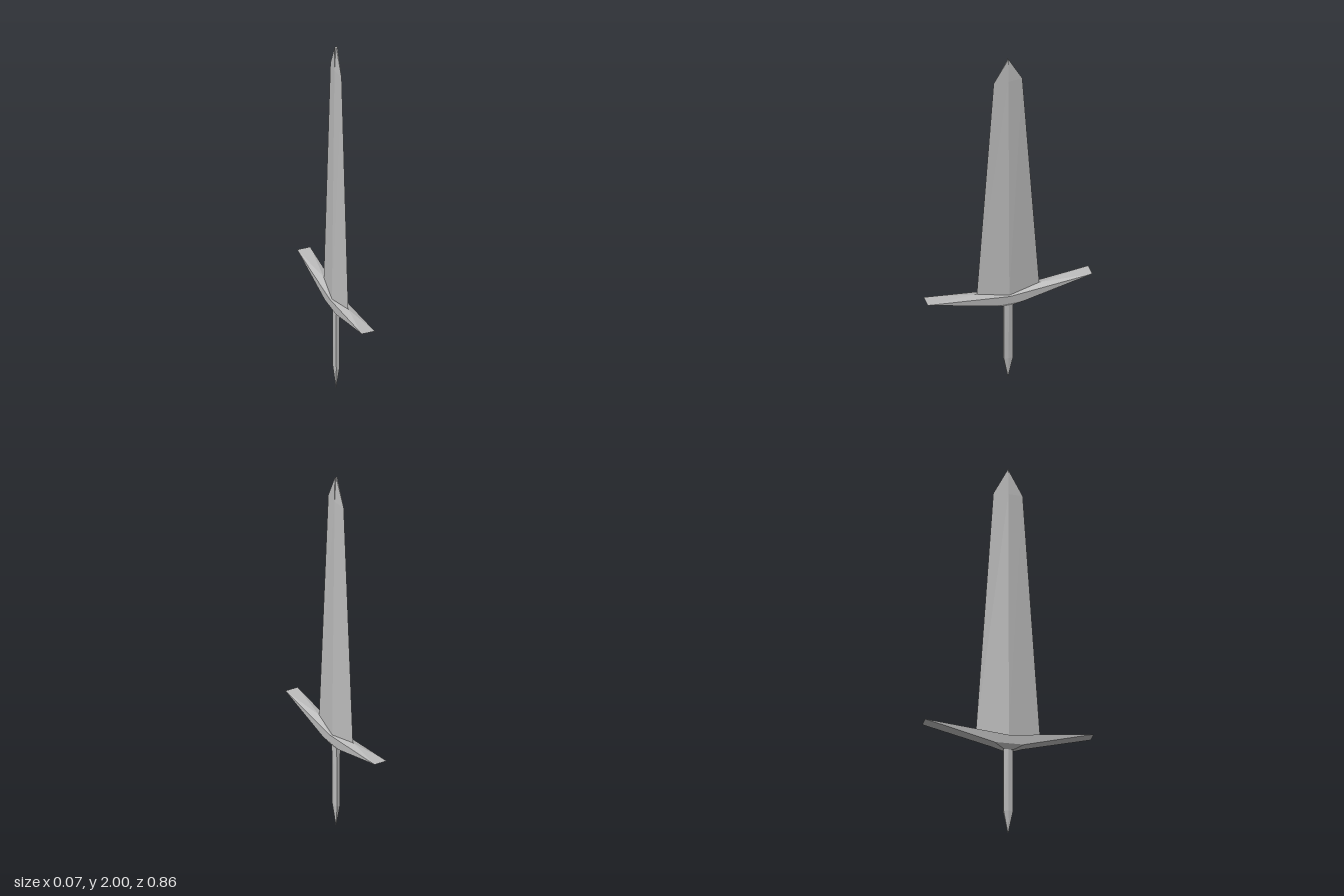
import * as THREE from 'three';

const steel = new THREE.MeshStandardMaterial({ color: 0xbcbcbc });
steel.name = 'steel grey';

// Faceted mesh from a list of convex polygons (corners counterclockwise from outside)
function facetMesh(name, polygons) {
  const pos = [];
  for (const p of polygons)
    for (let i = 1; i < p.length - 1; i++) pos.push(...p[0], ...p[i], ...p[i + 1]);
  const geo = new THREE.BufferGeometry();
  geo.setAttribute('position', new THREE.Float32BufferAttribute(pos, 3));
  geo.computeVertexNormals();
  const mesh = new THREE.Mesh(geo, steel);
  mesh.name = name;
  return mesh;
}

// Skin between rings, listed from bottom to top
function loft(name, rings) {
  const polygons = [];
  for (let r = 0; r < rings.length - 1; r++) {
    const a = rings[r], b = rings[r + 1], n = a.length;
    for (let i = 0; i < n; i++) {
      const j = (i + 1) % n;
      polygons.push([a[i], a[j], b[j], b[i]]);
    }
  }
  return facetMesh(name, polygons);
}

// Diamond section; the ridge may sit lower than the cutting edges
const diamond = (hx, hz, y, ridgeY = y) =>
  [[hx, ridgeY, 0], [0, y, -hz], [-hx, ridgeY, 0], [0, y, hz]];

// Six-sided grip section
const hexagon = (hx, hz, y) => [
  [hx, y, 0], [hx * 0.75, y, -hz], [-hx * 0.75, y, -hz],
  [-hx, y, 0], [-hx * 0.75, y, hz], [hx * 0.75, y, hz],
];

// Crossguard: one quarter (x > 0, z > 0), mirrored to the other three
function guard() {
  const end = [0.035, 0.57, 0.43], endMid = [0, 0.57, 0.43];
  const peak = [0, 0.553, 0.163], side = [0.033, 0.525, 0], centre = [0, 0.525, 0];
  const low = [0.031, 0.48, 0.075], lowSide = [0.031, 0.48, 0], lowEnd = [0, 0.48, 0.075];
  const base = [0.014, 0.455, 0.024], baseSide = [0.014, 0.455, 0];
  const baseEnd = [0, 0.455, 0.024], baseMid = [0, 0.455, 0];
  const quarter = [
    [endMid, end, peak], [end, side, peak], [peak, side, centre], // top
    [end, low, side], [low, lowSide, side],                       // flank
    [endMid, lowEnd, low, end],                                   // underside of arm
    [low, base, baseSide, lowSide], [lowEnd, baseEnd, base, low], // collar
    [baseEnd, baseMid, baseSide, base],                           // bottom
  ];
  const polygons = [];
  for (const sx of [1, -1]) for (const sz of [1, -1])
    for (const q of quarter) {
      const p = q.map(([x, y, z]) => [x * sx, y, z * sz]);
      polygons.push(sx * sz > 0 ? p : p.reverse());
    }
  return facetMesh('crossguard', polygons);
}

export function createModel() {
  const sword = new THREE.Group();
  sword.name = 'sword';
  sword.add(
    loft('blade', [
      diamond(0.022, 0.163, 0.553, 0.525),
      diamond(0.008, 0.075, 1.86),
      diamond(0.007, 0, 2),
    ]),
    guard(),
    loft('grip', [
      hexagon(0.001, 0.001, 0),
      hexagon(0.011, 0.024, 0.12),
      hexagon(0.014, 0.024, 0.46),
    ]),
  );
  return sword;
}
